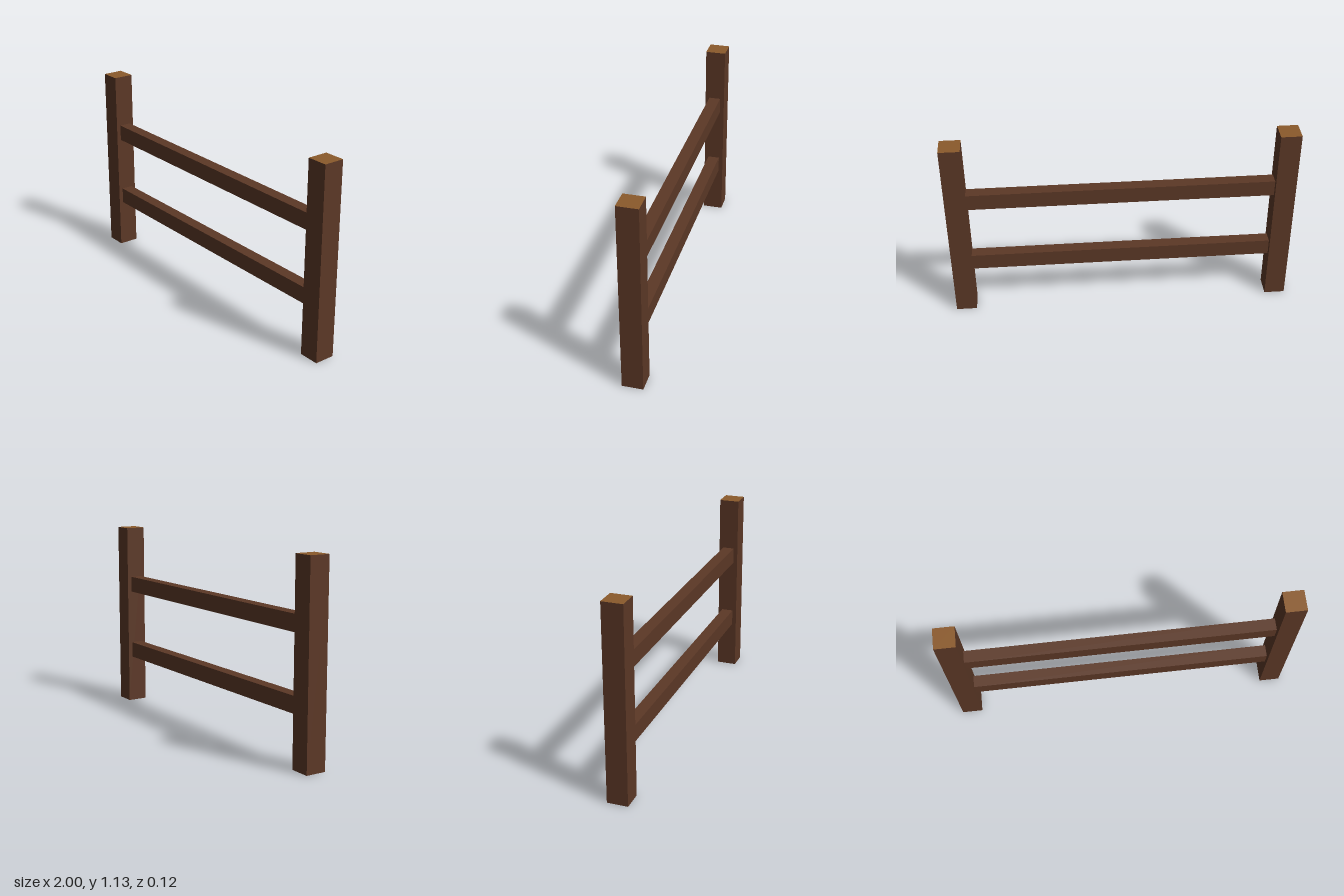
import * as THREE from 'three';

export function createModel() {
  const wood = new THREE.MeshStandardMaterial({ color: 0x5c3826 });
  wood.name = 'darkWood';
  const endGrain = new THREE.MeshStandardMaterial({ color: 0x8b5a2b });
  endGrain.name = 'endGrain';

  const fence = new THREE.Group();
  fence.name = 'fence';

  const add = (name, size, position, material) => {
    const mesh = new THREE.Mesh(new THREE.BoxGeometry(...size), material);
    mesh.name = name;
    mesh.position.set(...position);
    fence.add(mesh);
  };

  // Square posts: bark sides, pale cut wood on the top and bottom faces
  const postWidth = 0.12, postHeight = 1.13;
  const postFaces = [wood, wood, endGrain, endGrain, wood, wood];
  for (const [side, s] of [['left', 1], ['right', -1]]) {
    add(`${side}Post`, [postWidth, postHeight, postWidth],
      [s * (1 - postWidth / 2), postHeight / 2, 0], postFaces);
  }

  // Horizontal rails spanning between the posts
  const railLength = 2 - 2 * postWidth;
  for (const [name, y] of [['lowerRail', 0.338], ['upperRail', 0.768]]) {
    add(name, [railLength, 0.096, 0.07], [0, y, 0], wood);
  }

  return fence;
}
